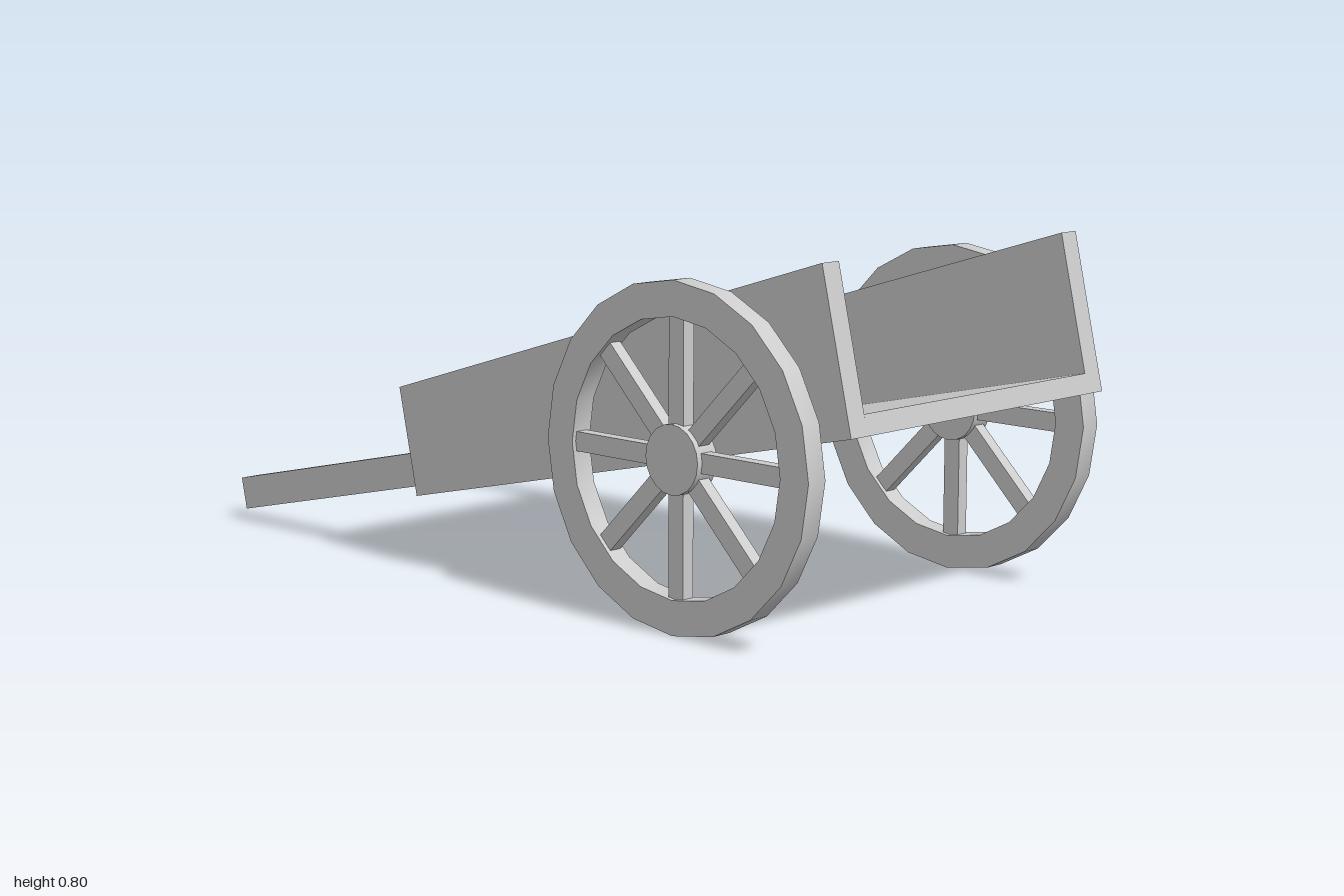
import * as THREE from 'three';
import { toCreasedNormals } from 'three/addons/utils/BufferGeometryUtils.js';

const material = new THREE.MeshStandardMaterial({ color: 0xcccccc });

function addMesh(parent, name, geometry, x = 0, y = 0, z = 0) {
  const mesh = new THREE.Mesh(geometry, material);
  mesh.name = name;
  mesh.position.set(x, y, z);
  parent.add(mesh);
  return mesh;
}

// Extrudes a shape drawn in (z, y) to the given width, centred on x = 0
function extrudeAcross(shape, width) {
  const geometry = new THREE.ExtrudeGeometry(shape, { depth: width, bevelEnabled: false, curveSegments: 10 });
  return geometry.translate(0, 0, -width / 2).rotateY(-Math.PI / 2);
}

function panel(width, points) {
  return extrudeAcross(new THREE.Shape(points.map(([z, y]) => new THREE.Vector2(z, y))), width);
}

function createWheel() {
  const wheel = new THREE.Group();
  const outer = 0.37, inner = 0.295, spokes = 8;

  // Rim ring
  const ring = new THREE.Shape().absarc(0, 0, outer, 0, Math.PI * 2, false);
  ring.holes.push(new THREE.Path().absarc(0, 0, inner, 0, Math.PI * 2, true));
  addMesh(wheel, 'rim', toCreasedNormals(extrudeAcross(ring, 0.05), 0.6));

  // Hub
  const hub = new THREE.CylinderGeometry(0.074, 0.074, 0.057, 20).rotateZ(Math.PI / 2);
  addMesh(wheel, 'hub', hub);

  // Spokes run from inside the hub into the rim
  for (let i = 0; i < spokes; i++) {
    const spoke = new THREE.BoxGeometry(0.03, 0.25, 0.042).translate(0, 0.18, 0);
    addMesh(wheel, 'spoke', spoke).rotation.x = (i / spokes) * Math.PI * 2;
  }
  return wheel;
}

export function createModel() {
  const cart = new THREE.Group();
  cart.name = 'handcart';

  // Tilted tray, open at the front
  const tray = new THREE.Group();
  tray.name = 'tray';
  cart.add(tray);
  const half = 0.413, wall = 0.05;
  const innerWidth = 2 * (half - wall);
  addMesh(tray, 'floor', panel(innerWidth, [[-0.295, 0.165], [1, 0.46], [0.99, 0.503], [-0.305, 0.208]]));
  addMesh(tray, 'backWall', panel(innerWidth, [[-0.305, 0.208], [-0.257, 0.219], [-0.303, 0.424], [-0.35, 0.41]]));

  // Drawbar crosspiece between the handles
  addMesh(cart, 'crossbar', panel(0.65, [[-0.523, 0.134], [-0.479, 0.144], [-0.495, 0.216], [-0.539, 0.206]]));

  for (const side of [1, -1]) {
    const label = side > 0 ? 'left' : 'right';

    const sideWall = panel(wall, [[-0.295, 0.165], [1, 0.46], [0.92, 0.8], [-0.35, 0.41]]);
    addMesh(tray, label + 'SideWall', sideWall, side * (half - wall / 2));

    const handle = panel(0.049, [[-0.983, 0.03], [-0.285, 0.188], [-0.302, 0.263], [-1, 0.105]]);
    addMesh(cart, label + 'Handle', handle, side * 0.345);

    // Short axle stub joining the wheel to the tray
    const axle = new THREE.CylinderGeometry(0.02, 0.02, 0.04, 12).rotateZ(Math.PI / 2);
    addMesh(cart, label + 'Axle', axle, side * 0.415, 0.375, 0.575);

    const wheel = createWheel();
    wheel.name = label + 'Wheel';
    wheel.position.set(side * 0.45, 0.372, 0.575);
    cart.add(wheel);
  }
  return cart;
}
